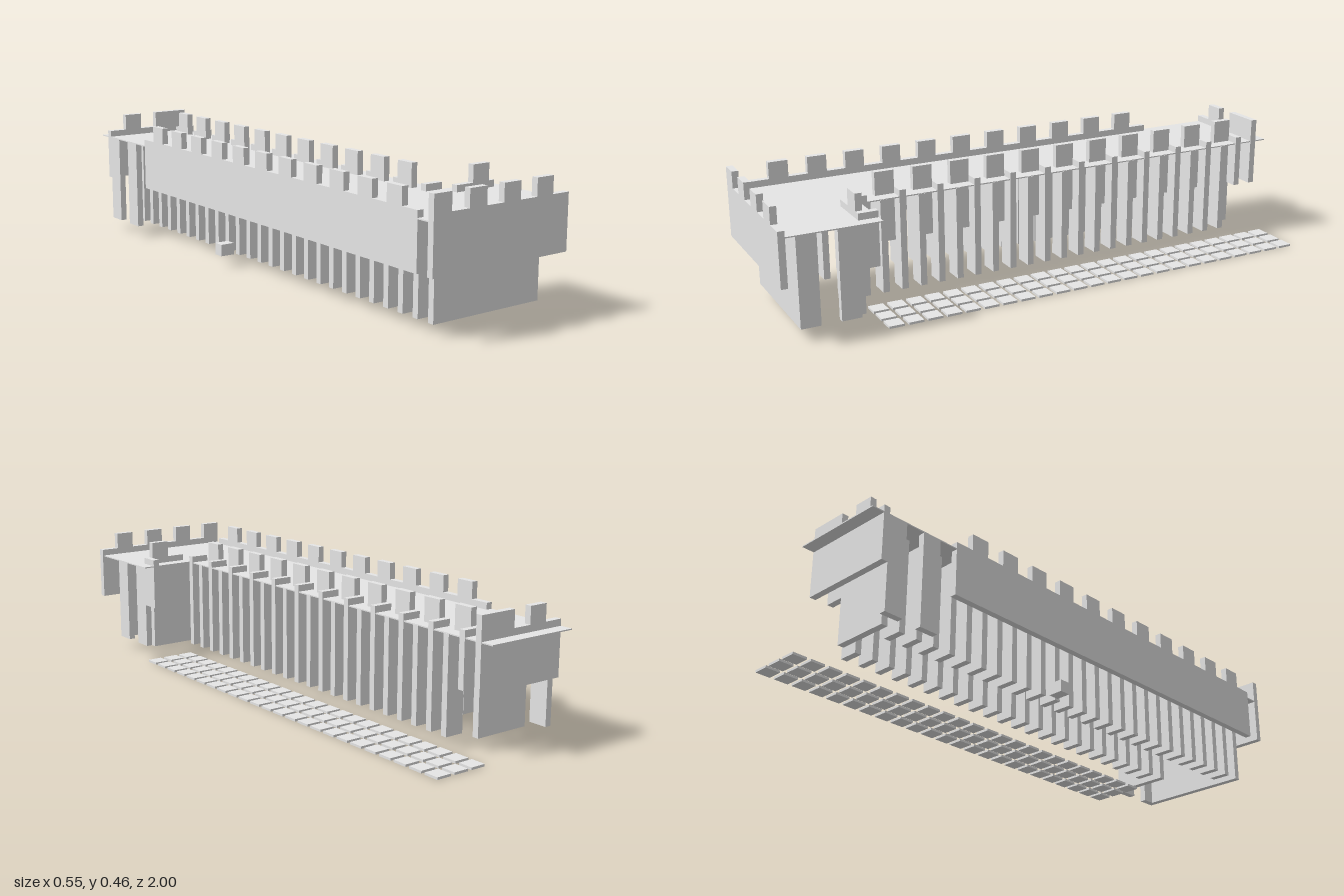
import * as THREE from 'three';

export function createModel() {
  const group = new THREE.Group();
  const stone = new THREE.MeshStandardMaterial({ color: 0xe6e6e6 });
  stone.name = 'pale grey stone';

  const u = 0.069;             // grid cell
  const t = u / 3;             // wall thickness
  const foot = 0.042, mid = 0.207, deckY = 0.371, rail = 0.396, top = 0.455;
  const west = -4 * u;         // long wall side
  const line = k => 1 - k * u; // grid line k, counted from the front

  // box given by its limits
  function box(name, x0, x1, y0, y1, z0, z1) {
    const mesh = new THREE.Mesh(new THREE.BoxGeometry(x1 - x0, y1 - y0, z1 - z0), stone);
    mesh.name = name;
    mesh.position.set((x0 + x1) / 2, (y0 + y1) / 2, (z0 + z1) / 2);
    group.add(mesh);
  }

  // walkway deck: long run and wider front platform
  box('deckRun', west, 0.067, deckY - 0.002, deckY + 0.002, -1, line(5));
  box('deckPlatform', west, 0.27, deckY - 0.002, deckY + 0.002, line(5), 1 - t);

  // front wall with merlons and recessed lower wall
  box('frontWall', west, 4 * u, mid, rail, 1 - t, 1);
  for (let i = 0; i < 4; i++) {
    const x = west + 2 * u * i;
    box('frontMerlon', x, x + u, rail, top, 1 - t, 1);
  }
  box('frontLowerWall', -3 * u, 3 * u + t, foot, deckY, line(1) - t, line(1));

  // back wall with merlons and recessed lower wall
  const back = line(28);
  box('backWall', west, u, mid, rail, back - t, back);
  box('backMerlon', west + u, west + 2 * u, rail, top, back - t, back);
  box('backCornerMerlon', -u, u, rail, top, back - t, back);
  box('backLowerWall', -3 * u, 0, foot, deckY, line(27) - t, line(27));

  // long side wall and its merlons
  box('sideWall', west, west + t, mid, rail, line(24), line(1));
  for (let k = 0; k < 11; k++) {
    box('sideMerlon', west, west + t, rail, top, line(3 + 2 * k), line(2 + 2 * k));
  }

  // two rows of tall cross fins carrying the deck
  for (let k = 2; k < 27; k++) {
    box('sideFin', -3 * u, -2 * u, foot, deckY, line(k) - t, line(k));
    if (k > 4) box('innerFin', 0, u, foot, deckY, line(k) - t, line(k));
  }

  // open side parapet: short cross panels and panels with merlons
  for (let k = 5; k < 28; k += 2) {
    const z = line(k);
    box('parapetCross', 0, u, mid, rail, z - t, z);
    if (k > 5) box('parapetMerlon', 0, t, mid, top, z, z + u);
  }

  // return wall at the inner edge of the platform
  box('returnLowerWall', 0, 3 * u, foot, deckY, line(4) - t, line(4));
  box('returnWall', u, 3 * u, mid, rail, line(4) - t, line(4));
  box('returnMerlon', 2 * u, 3 * u, rail, top, line(4) - t, line(4));
  box('returnEnd', 3 * u, 3 * u + t, mid, rail, line(5), line(4));

  // corner pillars
  for (const k of [1, 3]) {
    box('frontPillar', 3 * u, 3 * u + t, foot, deckY, line(k + 1), line(k));
  }
  for (const k of [25, 27]) {
    box('backPillar', west, west + t, foot, deckY, line(k + 1), line(k));
  }

  // small loose block beside the fins
  box('block', -0.27, -0.217, foot, 0.084, -0.166, -0.126);

  // paving slabs
  for (let r = 0; r < 24; r++) {
    for (let c = 0; c < 3; c++) {
      const x = (1.5 + c) * u, z = line(5.5 + r), h = 0.027;
      box('slab', x - h, x + h, 0, 0.008, z - h, z + h);
    }
  }
  return group;
}
